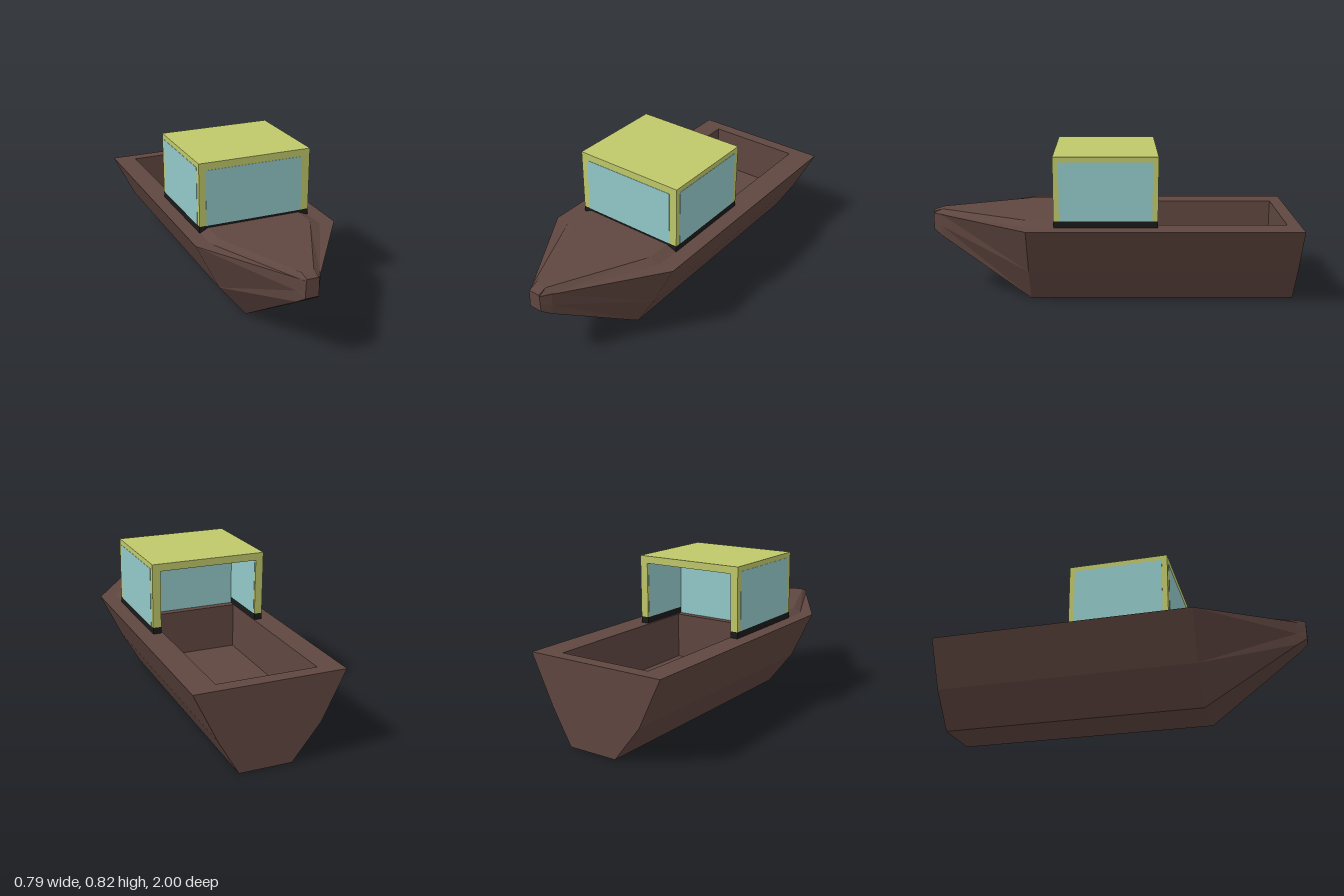
import * as THREE from 'three';

const paint = (color) => new THREE.MeshStandardMaterial({ color, flatShading: true, side: THREE.DoubleSide });

// Skin a row of cross-sections; options close the ring and cap the ends.
function loft(rings, { closed = false, startCap = false, endCap = false } = {}) {
  const out = [];
  const tri = (...points) => points.forEach((p) => out.push(...p));
  const n = rings[0].length;
  for (let r = 0; r < rings.length - 1; r++) {
    const a = rings[r], b = rings[r + 1];
    for (let i = 0; i < (closed ? n : n - 1); i++) {
      const j = (i + 1) % n;
      tri(a[i], a[j], b[j]);
      tri(a[i], b[j], b[i]);
    }
  }
  const first = rings[0], last = rings[rings.length - 1];
  for (let i = 1; i < n - 1; i++) {
    if (startCap) tri(first[0], first[i + 1], first[i]);
    if (endCap) tri(last[0], last[i], last[i + 1]);
  }
  const g = new THREE.BufferGeometry();
  g.setAttribute('position', new THREE.Float32BufferAttribute(out, 3));
  g.computeVertexNormals();
  return g;
}

export function createModel() {
  const boat = new THREE.Group();
  boat.name = 'boat';
  const wood = paint(0x5f4640), frame = paint(0xbfc86a), glass = paint(0x93c9c9), black = paint(0x1a1a1a);

  const add = (name, geometry, material, parent = boat) => {
    const mesh = new THREE.Mesh(geometry, material);
    mesh.name = name;
    parent.add(mesh);
    return mesh;
  };
  // Box given by its limits on each axis
  const block = (name, [x0, x1], [y0, y1], [z0, z1], material, parent) =>
    add(name, new THREE.BoxGeometry(x1 - x0, y1 - y0, z1 - z0), material, parent)
      .position.set((x0 + x1) / 2, (y0 + y1) / 2, (z0 + z1) / 2);
  const section = (z, points) => points.map(([x, y]) => [x, y, z]);

  // Hull: constant chined section, then tapering to a blunt bow
  const deckY = 0.447;
  const mid = [[-0.395, deckY], [-0.27, 0.19], [-0.12, 0], [0.16, 0], [0.27, 0.19], [0.395, deckY]];
  const nose = [[-0.092, deckY], [-0.09, 0.38], [-0.085, 0.32], [0.03, 0.32], [0.035, 0.38], [0.038, deckY]];
  const tip = [[-0.065, deckY], [-0.066, 0.4], [-0.068, 0.355], [0.005, 0.355], [0.004, 0.4], [0.003, deckY]];
  add('hull', loft([section(-1, mid), section(0.45, mid), section(0.95, nose), section(1, tip)],
    { startCap: true, endCap: true }), wood);

  // Flat deck with the well cut out (shape y is -z)
  const well = { x0: -0.272, x1: 0.255, z0: -0.93, z1: 0.03, floor: 0.195 };
  const outline = [[-0.395, 1], [-0.395, -0.45], [-0.092, -0.95], [-0.065, -1],
    [0.003, -1], [0.038, -0.95], [0.395, -0.45], [0.395, 1]];
  const wellCorners = [[well.x0, well.z0], [well.x1, well.z0], [well.x1, well.z1], [well.x0, well.z1]];
  const deck = new THREE.Shape(outline.map(([x, y]) => new THREE.Vector2(x, y)));
  deck.holes.push(new THREE.Path(wellCorners.map(([x, z]) => new THREE.Vector2(x, -z))));
  add('deck', new THREE.ShapeGeometry(deck).rotateX(-Math.PI / 2).translate(0, deckY, 0), wood);

  // Sunken well: four walls and a floor
  const wellRing = (y) => wellCorners.map(([x, z]) => [x, y, z]);
  add('well', loft([wellRing(deckY), wellRing(well.floor)], { closed: true, endCap: true }), wood);

  // Raised foredeck with sloping edges
  const ridge = [[-0.315, deckY], [-0.272, 0.47], [0.25, 0.47], [0.308, deckY]];
  add('foredeck', loft([
    section(0.28, ridge), section(0.45, ridge),
    section(0.95, [[-0.09, deckY], [-0.066, 0.47], [0, 0.47], [0.034, deckY]]),
    section(1, [[-0.065, deckY], [-0.062, 0.455], [0, 0.455], [0.003, deckY]]),
  ], { endCap: true }), wood);

  // Cabin: thick front, two side walls, roof, open at the back
  const cabin = new THREE.Group();
  cabin.name = 'cabin';
  boat.add(cabin);
  const L = -0.318, R = 0.31, inL = -0.275, inR = 0.265;
  const back = -0.24, front = 0.31, inFront = 0.07;
  const baseY = 0.482, ceiling = 0.785, top = 0.825;
  for (const [part, y, material] of [['Base', [deckY, baseY], black], ['Wall', [baseY, ceiling], frame]]) {
    block('front' + part, [L, R], y, [inFront, front], material, cabin);
    block('right' + part, [L, inL], y, [back, inFront], material, cabin);
    block('left' + part, [inR, R], y, [back, inFront], material, cabin);
  }
  block('roof', [L, R], [ceiling, top], [back, front], frame, cabin);

  // Window panes, outside and inside
  const e = 0.0015;
  block('frontWindow', [-0.28, 0.265], [baseY, ceiling], [front - e, front + e], glass, cabin);
  block('innerFrontWindow', [inL, inR], [deckY, ceiling], [inFront - e, inFront + e], glass, cabin);
  for (const [side, outer, inner] of [['right', L, inL], ['left', R, inR]]) {
    block(side + 'Window', [outer - e, outer + e], [baseY, 0.797], [-0.21, 0.28], glass, cabin);
    block(side + 'InnerWindow', [inner - e, inner + e], [baseY, ceiling], [back + 0.01, inFront], glass, cabin);
  }
  return boat;
}
